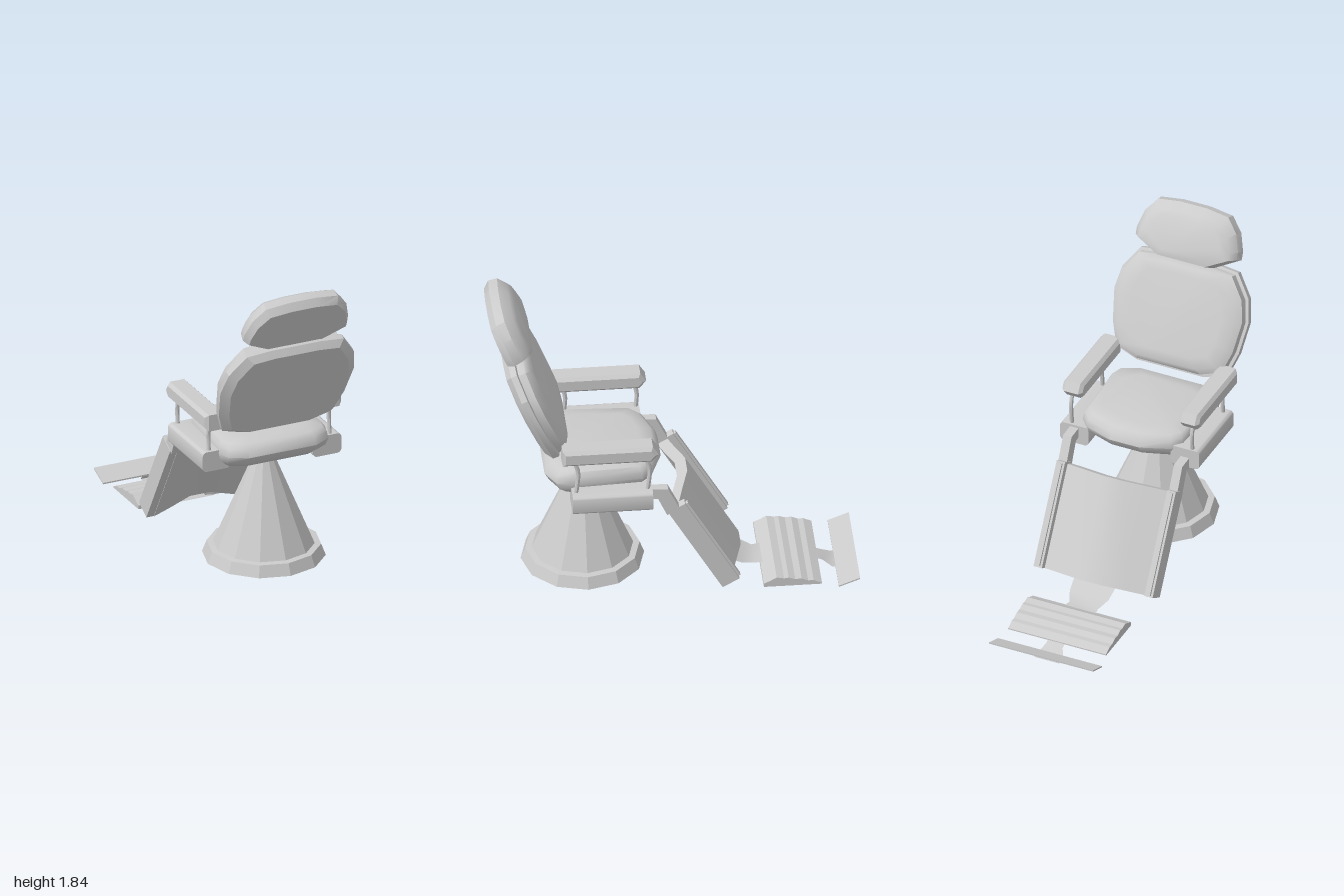
import * as THREE from 'three';
import { toCreasedNormals } from 'three/addons/utils/BufferGeometryUtils.js';

const grey = new THREE.MeshStandardMaterial({ color: 0xcccccc });
const thin = new THREE.MeshStandardMaterial({ color: 0xcccccc, side: THREE.DoubleSide });

function add(parent, name, geometry, material = grey, crease = 0.6) {
  const mesh = new THREE.Mesh(toCreasedNormals(geometry, crease), material);
  mesh.name = name;
  parent.add(mesh);
  return mesh;
}

// right half of an outline, bottom to top, completed by its mirror image
const mirror = half => half.concat(half.slice().reverse().map(([x, y]) => [-x, y]));

const toShape = points => new THREE.Shape(points.map(([x, y]) => new THREE.Vector2(x, y)));

// padded form: scaled copies of an outline stacked along z; layers are [z, scaleX, scaleY, shiftY]
function pad(outline, layers) {
  const rings = layers.map(([z, sx, sy, dy = 0]) => outline.map(([x, y]) => [x * sx, y * sy + dy, z]));
  const n = outline.length, pos = rings.flat(2), index = [];
  for (let r = 0; r < rings.length - 1; r++) {
    for (let i = 0; i < n; i++) {
      const a = r * n + i, b = r * n + (i + 1) % n;
      index.push(a, b, b + n, a, b + n, a + n);
    }
  }
  const last = (rings.length - 1) * n;
  for (let i = 1; i < n - 1; i++) {
    index.push(0, i + 1, i, last, last + i, last + i + 1);
  }
  const g = new THREE.BufferGeometry();
  g.setAttribute('position', new THREE.Float32BufferAttribute(pos, 3));
  g.setIndex(index);
  return g;
}

// side profile of [z, y] points swept from x0 to x1, optionally with chamfered ends
function sweepX(points, x0, x1, bevel = 0) {
  const g = new THREE.ExtrudeGeometry(toShape(points), {
    depth: x1 - x0 - 2 * bevel, bevelEnabled: bevel > 0, bevelThickness: bevel,
    bevelSize: bevel, bevelOffset: -bevel, bevelSegments: 1,
  });
  return g.rotateY(-Math.PI / 2).translate(x1 - bevel, 0, 0);
}

// thin strip through rows of [z, y, halfWidth]
function strip(rows) {
  const g = new THREE.PlaneGeometry(1, 1, 1, rows.length - 1);
  rows.forEach(([z, y, w], i) => {
    g.attributes.position.setXYZ(2 * i, -w, y, z);
    g.attributes.position.setXYZ(2 * i + 1, w, y, z);
  });
  return g;
}

function roundedRect(w, h, r) {
  const s = new THREE.Shape();
  const a = w / 2 - r, b = h / 2 - r;
  s.absarc(a, b, r, 0, Math.PI / 2);
  s.absarc(-a, b, r, Math.PI / 2, Math.PI);
  s.absarc(-a, -b, r, Math.PI, Math.PI * 1.5);
  s.absarc(a, -b, r, Math.PI * 1.5, Math.PI * 2);
  return s;
}

export function createModel() {
  const chair = new THREE.Group();
  chair.name = 'recliningChair';

  // faceted cone base with a flared skirt
  const profile = [[0, 0.12], [0.335, 0.12], [0.31, 0.185], [0.275, 0.188], [0.045, 0.73], [0, 0.73]];
  const base = new THREE.LatheGeometry(profile.map(([r, y]) => new THREE.Vector2(r, y)), 12);
  add(chair, 'base', base, grey, 0.1).position.set(-0.005, 0, 0.475);

  // seat cushion
  const seatOutline = mirror([[0.2, -0.325], [0.3, -0.27], [0.32, -0.2], [0.31, 0], [0.3, 0.2], [0.25, 0.255], [0.09, 0.315]]);
  const seat = add(chair, 'seat', pad(seatOutline, [
    [0.735, 0.9, 0.8], [0.765, 0.97, 0.92], [0.81, 1, 1], [0.85, 0.98, 0.96], [0.875, 0.93, 0.87], [0.89, 0.7, 0.65],
  ]), grey, 0.8);
  seat.rotation.x = -Math.PI / 2;
  seat.position.z = 0.375;

  // reclined back: shell behind, cushion in front
  const back = new THREE.Group();
  back.name = 'backrest';
  back.position.set(-0.015, 1.23, 0.808);
  back.rotation.x = 0.41;
  chair.add(back);
  const backOutline = mirror([[0.2, -0.325], [0.33, -0.28], [0.375, -0.15], [0.4, 0.03], [0.375, 0.16], [0.29, 0.285], [0.15, 0.3]]);
  add(back, 'backShell', pad(backOutline, [
    [-0.075, 0.94, 0.94], [-0.07, 1, 1], [-0.035, 1, 1], [0, 0.88, 0.9],
  ]), grey, 0.4);
  add(back, 'backCushion', pad(backOutline, [
    [-0.145, 0.68, 0.7], [-0.138, 0.85, 0.86], [-0.115, 0.95, 0.94], [-0.07, 0.96, 0.95],
  ]), grey, 0.8);

  // headrest
  const headOutline = mirror([[0.165, -0.165], [0.31, -0.085], [0.31, -0.04], [0.28, 0.06], [0.215, 0.14], [0.08, 0.158]]);
  const head = add(chair, 'headrest', pad(headOutline, [
    [-0.145, 0.7, 0.6, -0.02], [-0.13, 0.86, 0.82, -0.02], [-0.09, 0.97, 0.97], [-0.04, 1, 1], [0, 0.93, 0.87, -0.01],
  ]), grey, 0.6);
  head.position.set(-0.01, 1.66, 0.942);
  head.rotation.x = 0.43;

  // armrests, posts and side boxes
  for (const s of [-1, 1]) {
    const side = s > 0 ? 'left' : 'right';
    const armX = s > 0 ? 0.335 : -0.36;
    add(chair, side + 'Armrest', sweepX(
      [[0.62, 0.975], [0.62, 1.07], [0.13, 1.07], [0.098, 1.02], [0.135, 0.975]], armX - 0.06, armX + 0.06, 0.018), grey, 0.3);

    for (const [name, z] of [['FrontPost', 0.16], ['RearPost', 0.548]]) {
      const path = new THREE.CatmullRomCurve3([[0.99, 0.008], [0.95, -0.006], [0.91, -0.015], [0.75, 0]].map(
        ([y, dz]) => new THREE.Vector3(s > 0 ? 0.355 : -0.365, y, z + dz)));
      add(chair, side + name, new THREE.TubeGeometry(path, 8, 0.012, 8));
    }

    const box = new THREE.ExtrudeGeometry(roundedRect(0.17, 0.115, 0.025), { depth: 0.435, bevelEnabled: false, curveSegments: 3 });
    add(chair, side + 'SideBox', box).position.set(s * 0.33, s > 0 ? 0.73 : 0.77, 0.132);

    // hinge arm joining the side box to the leg rest
    add(chair, side + 'HingeArm', sweepX(
      [[0.18, 0.775], [0.045, 0.77], [-0.015, 0.645], [0.05, 0.6], [0.1, 0.71], [0.18, 0.72]],
      s * 0.33 - 0.025, s * 0.33 + 0.025));
  }

  // sloping leg rest: bowed panel between two side rails
  const leg = new THREE.Group();
  leg.name = 'legRest';
  leg.position.set(-0.005, 0.132, -0.305);
  leg.rotation.x = -Math.PI / 3;
  chair.add(leg);
  const bow = [[-0.31, 0], [-0.2, 0.035], [-0.06, 0.084], [0.06, 0.084], [0.2, 0.035], [0.31, 0]];
  const panel = toShape([...bow.map(([x, y]) => [x, y - 0.065]), ...bow.slice().reverse()]);
  add(leg, 'legPanel', new THREE.ExtrudeGeometry(panel, { depth: 0.58, bevelEnabled: false }));
  for (const s of [-1, 1]) {
    const rail = new THREE.BoxGeometry(0.05, 0.105, 0.59);
    add(leg, 'legRail', rail).position.set(s * 0.33, -0.01, 0.295);
    const trim = new THREE.BoxGeometry(0.025, 0.015, 0.57);
    add(leg, 'railTrim', trim).position.set(s * 0.33, 0.048, 0.295);
  }

  // foot rest: stem, ribbed plate, second stem and toe bar
  add(chair, 'footStem', strip([[-0.28, 0.14, 0.125], [-0.38, 0.09, 0.115], [-0.45, 0.066, 0.085], [-0.54, 0.075, 0.1]]), thin);
  const ribs = [[-0.48, 0.065], [-0.515, 0.08], [-0.55, 0.1], [-0.59, 0.092], [-0.615, 0.095], [-0.65, 0.083],
    [-0.685, 0.085], [-0.72, 0.07], [-0.75, 0.07], [-0.795, 0.05]];
  add(chair, 'footPlate', sweepX([[-0.48, 0.043], ...ribs, [-0.795, 0.043]], -0.297, 0.287), grey, 0.2);
  add(chair, 'toeStem', strip([[-0.78, 0.05, 0.05], [-0.82, 0.035, 0.05], [-0.87, 0.004, 0.075], [-0.915, 0.0, 0.075], [-0.9, 0.034, 0.07]]), thin);
  add(chair, 'toeBar', sweepX([[-0.885, 0.028], [-0.885, 0.036], [-1.0, 0.08], [-1.0, 0.072]], -0.315, 0.305));

  return chair;
}
